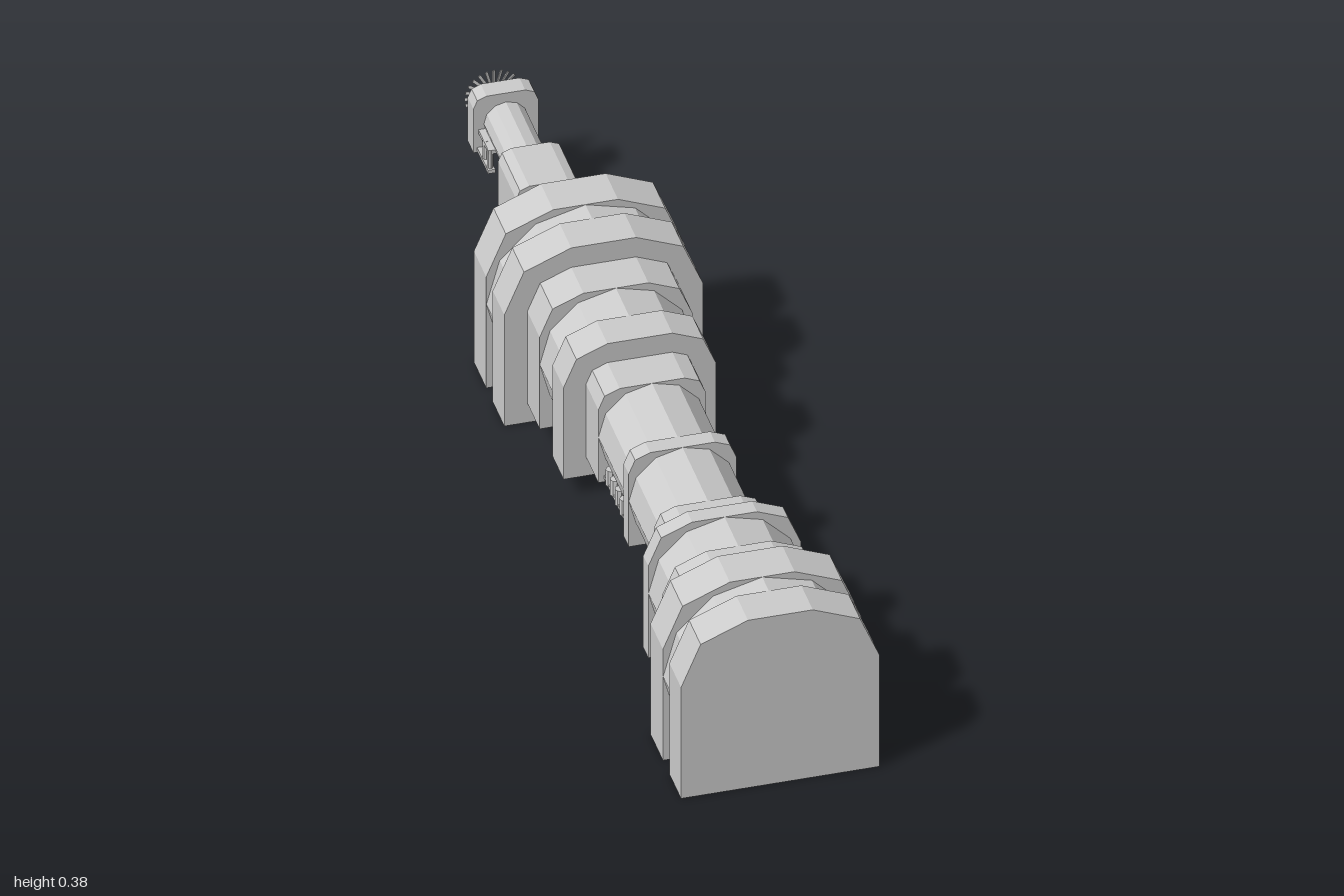
import * as THREE from 'three';

const AXIS_Y = 0.19;

// Square-footed frame outline of half-width r with rounded upper corners
function outline(r, core) {
  const a = core + (r - core) * Math.SQRT1_2;
  const points = [[r, core], [a, a], [core, r], [-core, r], [-a, a], [-r, core], [-r, -r], [r, -r]];
  return new THREE.Shape(points.map(([x, y]) => new THREE.Vector2(x, y)));
}

export function createModel() {
  const model = new THREE.Group();
  const grey = new THREE.MeshStandardMaterial({ color: 0xcccccc, flatShading: true });
  grey.name = 'lightGrey';

  function add(name, geometry, x = 0, y = AXIS_Y, z = 0, parent = model) {
    const mesh = new THREE.Mesh(geometry, grey);
    mesh.name = name;
    mesh.position.set(x, y, z);
    parent.add(mesh);
    return mesh;
  }

  // Frame extruded between two z positions
  function frame(name, r, core, z0, z1) {
    const g = new THREE.ExtrudeGeometry(outline(r, core), { depth: z0 - z1, bevelEnabled: false });
    add(name, g, 0, AXIS_Y, z1);
  }

  // Twelve-sided barrel between two z positions
  function barrel(name, r, z0, z1) {
    const g = new THREE.CylinderGeometry(r, r, z0 - z1, 12).rotateX(Math.PI / 2);
    add(name, g, 0, AXIS_Y, (z0 + z1) / 2);
  }

  // Hull stages: z cuts alternate between frames and barrels
  const stages = [
    ['frontHull', 0.19, 0.062, [1, 0.92, 0.875, 0.79]],
    ['frontStep', 0.146, 0.062, [0.79, 0.71, 0.615, 0.58]],
    ['middleHull', 0.103, 0.062, [0.58, 0.5, 0.325, 0.29, 0.115, 0.03]],
    ['rearStep', 0.146, 0.062, [0.03, -0.045, -0.135, -0.22]],
    ['rearHull', 0.19, 0.062, [-0.22, -0.3, -0.345, -0.43]],
    ['tailHull', 0.062, 0.037, [-0.43, -0.51, -0.6, -0.725]],
  ];
  for (const [name, r, core, cuts] of stages) {
    for (let i = 0; i < cuts.length - 1; i++) {
      if (i % 2) barrel(name + 'Barrel', r * 0.998, cuts[i], cuts[i + 1]);
      else frame(name + 'Frame', r, core, cuts[i], cuts[i + 1]);
    }
  }

  // Tail boom and its end frame
  barrel('tailBoom', 0.042, -0.725, -0.895);
  frame('tailEndFrame', 0.062, 0.037, -0.895, -0.935);

  // Keel bar and antenna support
  add('keelBar', new THREE.BoxGeometry(0.036, 0.02, 0.09), 0, 0.14, -0.852);
  add('antennaSupport', new THREE.BoxGeometry(0.034, 0.08, 0.04), 0, 0.17, -0.953);

  // Radial antenna: hub, spike and slightly pitched blades
  const antenna = new THREE.Group();
  antenna.name = 'radialAntenna';
  antenna.position.set(0, AXIS_Y, -0.978);
  model.add(antenna);
  add('hub', new THREE.CylinderGeometry(0.016, 0.016, 0.016, 12).rotateX(Math.PI / 2), 0, 0, 0, antenna);
  add('spike', new THREE.ConeGeometry(0.012, 0.018, 10).rotateX(-Math.PI / 2), 0, 0, -0.013, antenna);
  const blades = 24;
  for (let i = 0; i < blades; i++) {
    const g = new THREE.BoxGeometry(0.044, 0.006, 0.002).rotateX(0.4).translate(0.034, 0, 0);
    add('blade', g, 0, 0, 0, antenna).rotation.z = (i / blades) * Math.PI * 2;
  }

  // Small side clamp beside the boom
  add('clampRail', new THREE.BoxGeometry(0.014, 0.008, 0.08), -0.048, 0.135, -0.86);
  for (const z of [-0.83, -0.86]) {
    add('clampPost', new THREE.CylinderGeometry(0.006, 0.006, 0.045, 8), -0.048, 0.157, z);
  }
  add('clampArm', new THREE.BoxGeometry(0.045, 0.008, 0.07), -0.03, 0.175, -0.86);

  // Row of small canisters tucked under the middle hull
  for (let i = 0; i < 5; i++) {
    add('canister', new THREE.CylinderGeometry(0.01, 0.01, 0.035, 8), -0.086, 0.115, 0.14 + i * 0.032);
  }
  add('canisterRail', new THREE.BoxGeometry(0.012, 0.008, 0.175), -0.086, 0.098, 0.203);

  return model;
}
